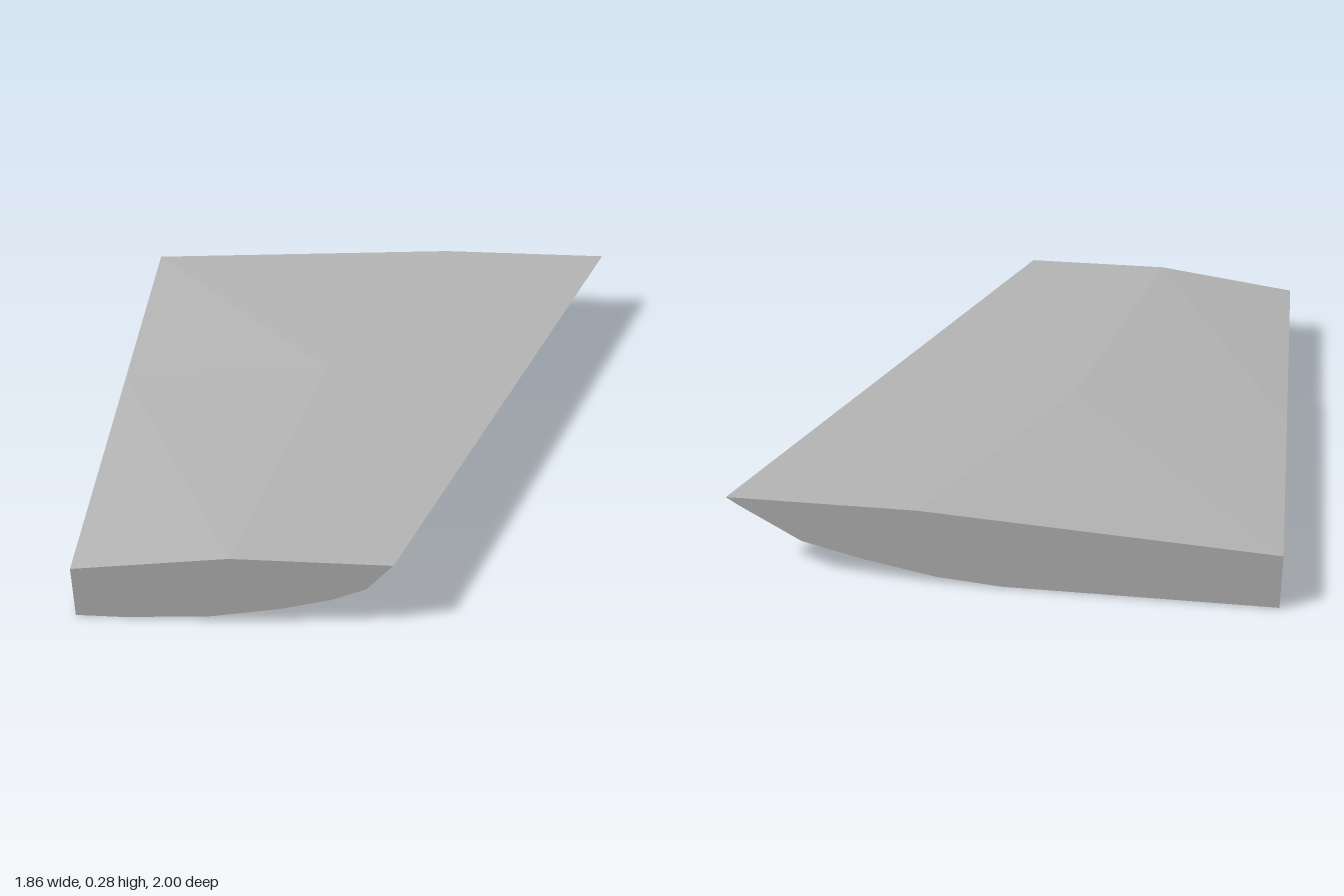
import * as THREE from 'three';

// Cross-sections [x, y], counter-clockwise seen from the front, starting at the lower left corner
const FRONT = [[-0.93, 0], [-0.77, 0], [-0.47, 0.02], [-0.22, 0.07], [-0.05, 0.12],
  [0.07, 0.175], [0.16, 0.285], [-0.39, 0.285], [-0.93, 0.21]];
const BACK = [[-0.93, 0.005], [0, 0.005], [0.22, 0.025], [0.47, 0.075], [0.68, 0.13],
  [0.89, 0.257], [0.93, 0.285], [0.28, 0.285], [-0.93, 0.21]];
const RIDGE = 7; // index of the fold line on the top
const MID_Z = -0.12;

function makeSections() {
  const t = (1 - MID_Z) / 2;
  const at = (pts, z) => pts.map(([x, y]) => [x, y, z]);
  const middle = FRONT.map(([x, y], i) => [
    THREE.MathUtils.lerp(x, BACK[i][0], t), THREE.MathUtils.lerp(y, BACK[i][1], t), MID_Z]);
  middle[RIDGE][0] = -0.15; // the fold bends slightly toward the straight edge
  return [at(FRONT, 1), middle, at(BACK, -1)];
}

function makeGeometry() {
  const sections = makeSections();
  const n = FRONT.length;
  const positions = [];
  const tri = (...corners) => corners.forEach((p) => positions.push(...p));

  // Skin between neighbouring sections
  for (let s = 0; s < sections.length - 1; s++) {
    const f = sections[s], b = sections[s + 1];
    for (let i = 0; i < n; i++) {
      const j = (i + 1) % n;
      tri(f[i], b[i], b[j]);
      tri(f[i], b[j], f[j]);
    }
  }
  // End caps
  const first = sections[0], last = sections[sections.length - 1];
  const hub = n - 1;
  for (let i = 0; i < n - 2; i++) {
    tri(first[hub], first[i], first[i + 1]);
    tri(last[hub], last[i + 1], last[i]);
  }

  const geometry = new THREE.BufferGeometry();
  geometry.setAttribute('position', new THREE.Float32BufferAttribute(positions, 3));
  geometry.computeVertexNormals();
  return geometry;
}

export function createModel() {
  const grey = new THREE.MeshStandardMaterial({ color: 0xb4b4b4 });
  grey.name = 'grey';
  grey.flatShading = true;

  const panel = new THREE.Mesh(makeGeometry(), grey);
  panel.name = 'taperedWingPanel';

  const model = new THREE.Group();
  model.name = 'wingSection';
  model.add(panel);
  return model;
}
